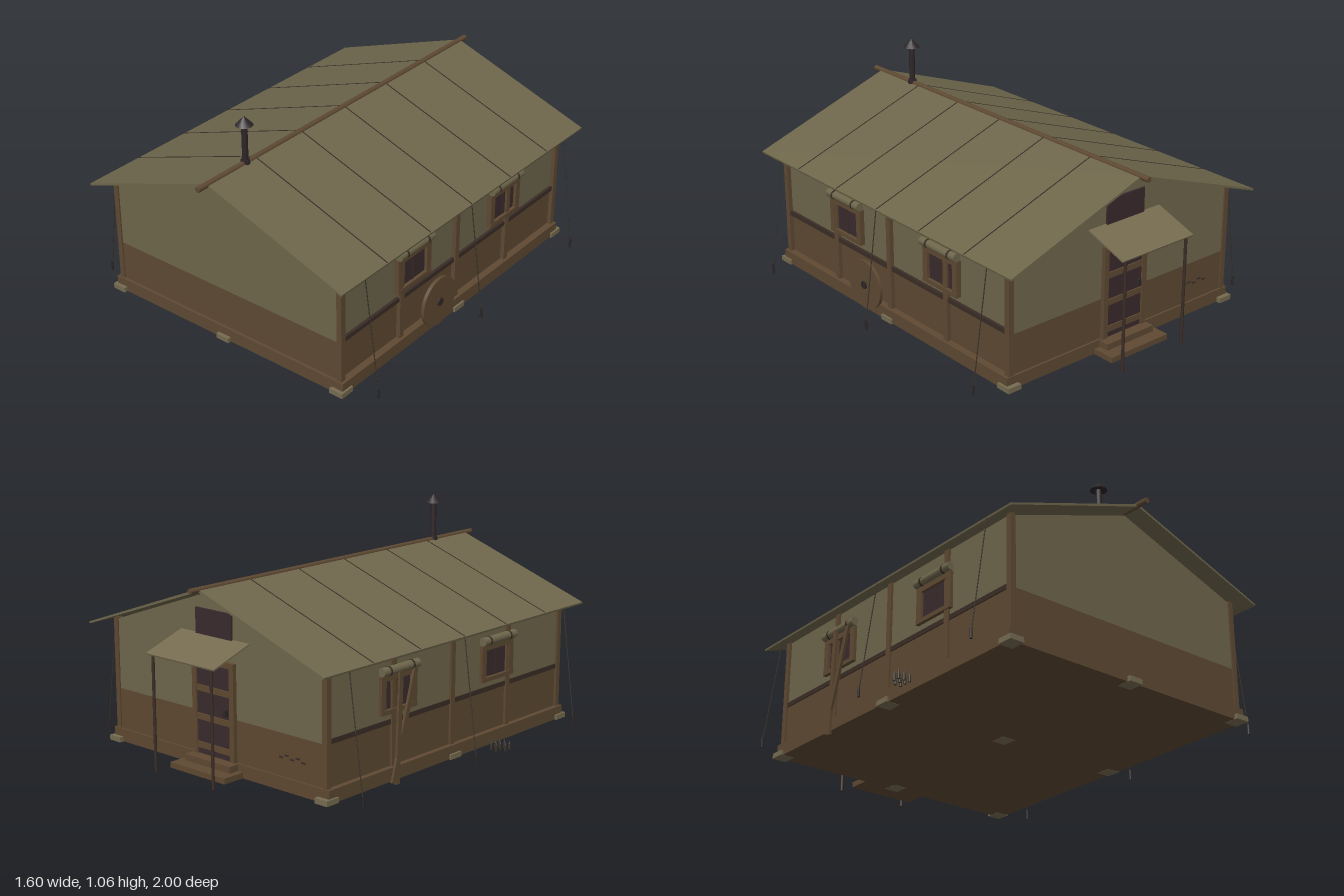
import * as THREE from 'three';

const mat = (name, color) => {
  const m = new THREE.MeshStandardMaterial({ color });
  m.name = name;
  return m;
};

export function createModel() {
  const canvas = mat('olive canvas', 0x6e664b);
  const awningCloth = mat('awning canvas', 0x756b50);
  const wood = mat('brown wood', 0x5e4932);
  const darkWood = mat('dark trim', 0x3b2d26);
  const glass = mat('dark pane', 0x3a2a2d);
  const iron = mat('iron', 0x2e2628);
  const rope = mat('rope', 0x3a342a);

  const model = new THREE.Group();
  model.name = 'fieldHut';

  const add = (name, geo, m, x = 0, y = 0, z = 0, parent = model) => {
    const mesh = new THREE.Mesh(geo, m);
    mesh.name = name;
    mesh.position.set(x, y, z);
    parent.add(mesh);
    return mesh;
  };
  // Box given by its limits on each axis
  const box = (name, m, x0, x1, y0, y1, z0, z1, parent) =>
    add(name, new THREE.BoxGeometry(x1 - x0, y1 - y0, z1 - z0), m,
      (x0 + x1) / 2, (y0 + y1) / 2, (z0 + z1) / 2, parent);
  // Round bar between two points
  const bar = (name, m, a, b, r, sides = 6) => {
    const p = new THREE.Vector3(...a), q = new THREE.Vector3(...b);
    const mesh = add(name, new THREE.CylinderGeometry(r, r, p.distanceTo(q), sides), m);
    mesh.position.copy(p).lerp(q, 0.5);
    mesh.quaternion.setFromUnitVectors(new THREE.Vector3(0, 1, 0), q.sub(p).normalize());
    return mesh;
  };
  const extrudeZ = (name, m, pts, z0, z1) => {
    const shape = new THREE.Shape(pts.map(p => new THREE.Vector2(...p)));
    return add(name, new THREE.ExtrudeGeometry(shape, { depth: z1 - z0, bevelEnabled: false }), m, 0, 0, z0);
  };

  const FRONT = 0.86, BACK = -0.79, W = 0.635;
  const postZ = [0.853, 0.445, 0.035, -0.37, -0.782];

  // Floor and foundation blocks
  box('floorBase', wood, -0.67, 0.67, 0.02, 0.08, BACK - 0.01, FRONT + 0.015);
  for (const x of [-0.645, 0, 0.645])
    for (const z of [0.855, 0.035, -0.785])
      box('footBlock', awningCloth, x - 0.035, x + 0.035, 0.019, 0.043, z - 0.037, z + 0.037);

  // Walls: wooden lower half, canvas upper half
  for (const [y0, y1, m, name] of [[0.08, 0.27, wood, 'lowerWall'], [0.27, 0.6, canvas, 'upperWall']]) {
    box(name, m, -W, W, y0, y1, FRONT - 0.02, FRONT);
    box(name, m, -W, W, y0, y1, BACK, BACK + 0.02);
    for (const s of [-1, 1])
      box(name, m, s * W - 0.01, s * W + 0.001, y0, y1, BACK + 0.001, FRONT - 0.001);
  }
  const gable = [[-W, 0.598], [W, 0.598], [0, 0.822]];
  extrudeZ('frontGable', canvas, gable, FRONT - 0.02, FRONT);
  extrudeZ('backGable', canvas, gable, BACK, BACK + 0.02);

  // Roof, ridge pole and canvas seams
  extrudeZ('roof', canvas,
    [[-0.72, 0.578], [0, 0.83], [0.72, 0.578], [0.722, 0.587], [0, 0.842], [-0.722, 0.587]], -0.885, 0.945);
  bar('ridgePole', wood, [0, 0.838, -0.93], [0, 0.838, 1], 0.013, 10);
  const slope = Math.atan2(0.255, 0.722);
  for (let i = 1; i < 6; i++)
    for (const s of [-1, 1]) {
      const seam = add('roofSeam', new THREE.BoxGeometry(0.76, 0.002, 0.005), darkWood,
        s * 0.361, 0.7152, 0.945 - i * 0.305);
      seam.rotation.z = -s * slope;
    }

  // Stove pipe
  add('pipeCollar', new THREE.CylinderGeometry(0.02, 0.022, 0.035, 12), iron, 0, 0.838, 0.7);
  add('stovePipe', new THREE.CylinderGeometry(0.014, 0.014, 0.21, 12), iron, 0, 0.92, 0.7);
  add('pipeCap', new THREE.ConeGeometry(0.04, 0.042, 12), iron, 0, 1.041, 0.7);

  // Both long sides
  for (const s of [-1, 1]) {
    const side = (name, m, d0, d1, y0, y1, z0, z1) =>
      box(name, m, Math.min(s * d0, s * d1), Math.max(s * d0, s * d1), y0, y1, z0, z1);
    for (const z of postZ) side('wallPost', wood, 0.63, 0.656, 0.08, 0.605, z - 0.014, z + 0.014);
    side('waistRail', darkWood, 0.63, 0.65, 0.268, 0.29, BACK + 0.02, FRONT - 0.02);

    for (const z of [0.36, -0.34]) {
      // Window frame, pane, bar and rolled blind
      side('windowPane', glass, 0.63, 0.646, 0.335, 0.465, z - 0.098, z + 0.098);
      for (const e of [-1, 1])
        side('windowJamb', wood, 0.63, 0.66, 0.32, 0.485, z + e * 0.102 - 0.016, z + e * 0.102 + 0.016);
      side('windowSill', wood, 0.63, 0.662, 0.318, 0.338, z - 0.118, z + 0.118);
      side('windowHead', wood, 0.63, 0.66, 0.465, 0.49, z - 0.118, z + 0.118);
      side('windowBar', darkWood, 0.63, 0.649, 0.335, 0.465, z - 0.005, z + 0.005);
      bar('rolledBlind', canvas, [s * 0.66, 0.51, z - 0.12], [s * 0.66, 0.51, z + 0.12], 0.02, 12);
      for (const e of [-0.075, 0.075])
        bar('blindStrap', darkWood, [s * 0.66, 0.51, z + e - 0.005], [s * 0.66, 0.51, z + e + 0.005], 0.0215, 12);
    }

    // Guy ropes and stakes
    for (const z of [0.79, 0.03, -0.73]) {
      bar('guyRope', rope, [s * 0.72, 0.582, z], [s * 0.793, 0.06, z], 0.0025, 5);
      bar('guyStake', iron, [s * 0.795, 0.02, z], [s * 0.795, 0.068, z], 0.006, 6);
    }
  }

  // Spare wheel leaning on the left wall
  bar('spareWheel', wood, [0.664, 0.145, 0.195], [0.68, 0.145, 0.195], 0.12, 28);
  bar('wheelHub', iron, [0.66, 0.145, 0.195], [0.687, 0.145, 0.195], 0.019, 12);

  // Skis leaning on the right wall
  for (const [z0, z1] of [[-0.4, -0.25], [-0.37, -0.35]]) {
    const ski = add('ski', new THREE.BoxGeometry(0.012, 0.505, 0.024), wood, -0.674, 0.253, (z0 + z1) / 2);
    ski.rotation.x = Math.atan2(z1 - z0, 0.5);
  }

  // Small pointed shells standing beside the right wall
  for (let i = 0; i < 8; i++) {
    const x = -0.725 - (i % 3) * 0.028, z = 0.296 - Math.floor(i / 3) * 0.031;
    add('shellCase', new THREE.CylinderGeometry(0.006, 0.006, 0.027, 8), rope, x, 0.0335, z);
    add('shellTip', new THREE.ConeGeometry(0.006, 0.016, 8), iron, x, 0.055, z);
  }

  // Back door with rails and frame
  box('door', glass, -0.105, 0.105, 0.08, 0.5, BACK - 0.012, BACK);
  for (const s of [-1, 1]) box('doorJamb', wood, s * 0.115 - 0.013, s * 0.115 + 0.013, 0.08, 0.51, BACK - 0.02, BACK);
  box('doorHead', wood, -0.128, 0.128, 0.495, 0.52, BACK - 0.02, BACK);
  for (const y of [0.12, 0.25, 0.38]) box('doorRail', wood, -0.1, 0.1, y - 0.014, y + 0.014, BACK - 0.018, BACK);
  box('doorHandle', iron, -0.088, -0.072, 0.28, 0.31, BACK - 0.03, BACK - 0.01);

  // Steps
  box('lowerStep', wood, -0.17, 0.17, 0.02, 0.046, -0.91, BACK);
  box('upperStep', wood, -0.14, 0.14, 0.046, 0.076, -0.85, BACK);

  // Awning with two poles
  const awning = add('awning', new THREE.BoxGeometry(0.42, 0.007, 0.225), awningCloth, 0, 0.583, -0.893);
  awning.rotation.x = -Math.atan2(0.072, 0.21);
  for (const x of [-0.18, 0.18]) bar('awningPole', darkWood, [x, 0.02, -0.985], [x, 0.548, -0.985], 0.007, 8);

  // Plain gable board and lantern over the door
  box('gableBoard', glass, -0.11, 0.11, 0.615, 0.735, BACK - 0.009, BACK);
  box('lanternArm', awningCloth, -0.006, 0.006, 0.55, 0.56, -0.845, BACK);
  add('lanternHood', new THREE.ConeGeometry(0.026, 0.016, 10), awningCloth, 0, 0.547, -0.835);
  add('lantern', new THREE.CylinderGeometry(0.014, 0.014, 0.026, 10), iron, 0, 0.527, -0.835);

  // Scuff marks on the lower back wall
  for (let i = 0; i < 5; i++)
    box('scuffMark', darkWood, -0.53 + i * 0.032, -0.508 + i * 0.032,
      0.16 + (i % 2) * 0.012, 0.168 + (i % 2) * 0.012, BACK - 0.003, BACK);

  return model;
}
